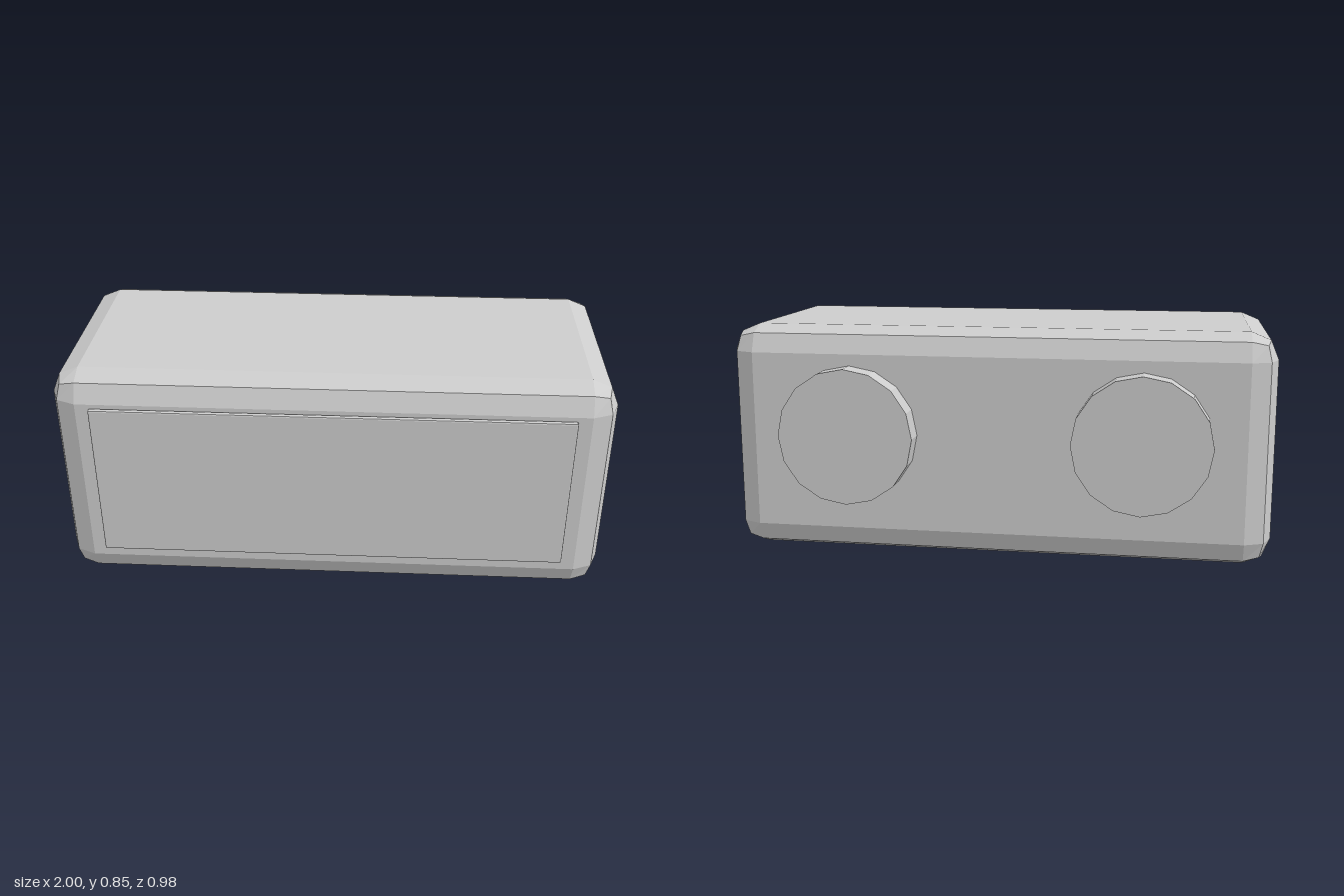
import * as THREE from 'three';
import { RoundedBoxGeometry } from 'three/addons/geometries/RoundedBoxGeometry.js';

export function createModel() {
  const model = new THREE.Group();
  model.name = 'bevelledBlock';

  const grey = new THREE.MeshStandardMaterial({ color: 0xcccccc, flatShading: true });
  grey.name = 'light grey';

  function add(name, geometry, x, y, z) {
    const mesh = new THREE.Mesh(geometry, grey);
    mesh.name = name;
    mesh.position.set(x, y, z);
    model.add(mesh);
    return mesh;
  }

  // main body: box with a two-step rounded edge
  add('body', new RoundedBoxGeometry(2, 0.85, 0.867, 1, 0.098), 0, 0.425, 0.029);

  // thin panel floating just ahead of the front face
  add('frontPanel', new RoundedBoxGeometry(1.7, 0.597, 0.019, 1, 0.005), 0, 0.443, 0.4785);

  // pair of sixteen-sided discs on the back, slightly sunk into the body
  for (const side of [1, -1]) {
    const disc = add(side > 0 ? 'leftBackDisc' : 'rightBackDisc',
      new THREE.CylinderGeometry(0.25, 0.25, 0.1, 16), side * 0.534, 0.46, -0.438);
    disc.rotation.x = Math.PI / 2;
  }

  return model;
}
